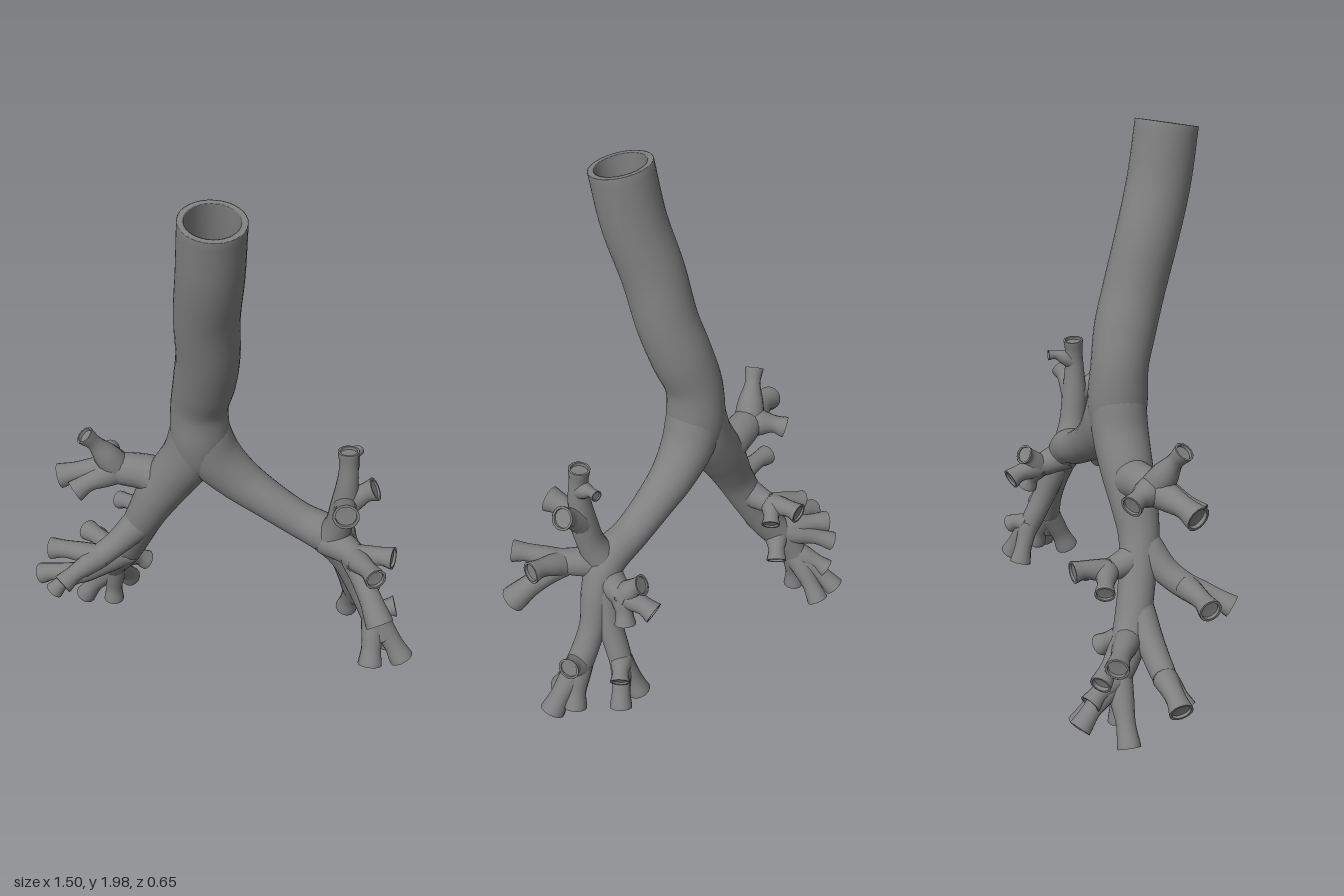
import * as THREE from 'three';

const material = new THREE.MeshStandardMaterial({ color: 0x808080, side: THREE.DoubleSide });

// Hollow-ended tube through points [x, y, z, radius]; the bore runs back from the tip to parameter "bore".
function tube(name, pts, bore = 0.95, sides = 18) {
  const curve = new THREE.CatmullRomCurve3(pts.map(p => new THREE.Vector3(p[0], p[1], p[2])));
  const radii = new THREE.SplineCurve(pts.map((p, i) => new THREE.Vector2(i, p[3])));
  const steps = (pts.length - 1) * 7;
  // Rounded root, outer wall, rounded rim, inner wall, closed floor
  const rings = [[0, 0], [0, 0.7]];
  for (let i = 0; i <= steps; i++) rings.push([i / steps, 1]);
  rings.push([1, 0.97], [1, 0.85]);
  for (let i = 0; i <= 8; i++) rings.push([1 - (1 - bore) * i / 8, 0.8]);
  rings.push([bore, 0]);

  const pos = [], index = [];
  const normal = new THREE.Vector3(0.3, 0.1, 1), bin = new THREE.Vector3();
  rings.forEach(([t, s], k) => {
    const c = curve.getPoint(t), tan = curve.getTangent(t), r = radii.getPoint(t).y * s;
    normal.addScaledVector(tan, -normal.dot(tan)).normalize();
    bin.crossVectors(tan, normal);
    for (let j = 0; j < sides; j++) {
      const a = j / sides * Math.PI * 2;
      const p = c.clone().addScaledVector(normal, Math.cos(a) * r).addScaledVector(bin, Math.sin(a) * r);
      pos.push(p.x, p.y, p.z);
      if (k) {
        const n = (j + 1) % sides, A = (k - 1) * sides, B = k * sides;
        index.push(A + j, A + n, B + n, A + j, B + n, B + j);
      }
    }
  });
  const g = new THREE.BufferGeometry();
  g.setAttribute('position', new THREE.Float32BufferAttribute(pos, 3));
  g.setIndex(index);
  g.computeVertexNormals();
  const mesh = new THREE.Mesh(g, material);
  mesh.name = name;
  return mesh;
}

// Several twigs leaving one fork point, each with a wide root, a narrow neck and a flared tip
function fork(name, from, r, tips) {
  const group = new THREE.Group();
  group.name = name;
  tips.forEach(([x, y, z, tipR = 0.035], i) => {
    const at = (t, lift) => [0, 1, 2].map(k => from[k] * (1 - t) + [x, y, z][k] * t + (k === 1 ? lift : 0));
    group.add(tube(`${name}Twig${i + 1}`, [
      [...from, r], [...at(0.35, 0.006), r * 0.86], [...at(0.7, 0.008), tipR * 0.9], [x, y, z, tipR * 1.1]], 0.93, 14));
  });
  return group;
}

export function createModel() {
  const model = new THREE.Group();
  model.name = 'airwayTree';

  // Windpipe, narrowing to a hidden rounded end, and the two main airways that grow out of it
  model.add(
    tube('windpipe', [
      [-0.055, 0.87, 0, 0.04], [-0.055, 0.94, 0, 0.085], [-0.053, 1.04, 0.003, 0.104], [-0.05, 1.18, 0.012, 0.1],
      [-0.02, 1.3, 0.042, 0.107], [0.006, 1.43, 0.083, 0.107], [0.02, 1.6, 0.132, 0.108],
      [0.05, 1.78, 0.185, 0.109], [0.07, 1.975, 0.22, 0.108]], 0.25, 32),
    tube('leftMainAirway', [
      [-0.052, 1.17, 0.01, 0.075], [-0.043, 1.07, 0.003, 0.095], [-0.008, 0.97, -0.008, 0.096], [0.08, 0.877, -0.02, 0.081],
      [0.19, 0.805, -0.026, 0.069], [0.31, 0.74, -0.03, 0.064], [0.42, 0.695, -0.03, 0.069],
      [0.48, 0.61, -0.045, 0.058], [0.53, 0.48, -0.065, 0.047], [0.59, 0.36, -0.065, 0.048],
      [0.64, 0.26, -0.05, 0.046]], 0.97, 24),
    tube('rightMainAirway', [
      [-0.052, 1.17, 0.01, 0.075], [-0.062, 1.07, 0.003, 0.095], [-0.09, 0.96, 0, 0.098], [-0.155, 0.85, 0, 0.092],
      [-0.215, 0.75, 0.005, 0.083], [-0.27, 0.64, 0.005, 0.071], [-0.325, 0.52, -0.02, 0.065],
      [-0.39, 0.39, -0.06, 0.062], [-0.45, 0.29, -0.11, 0.056], [-0.48, 0.2, -0.16, 0.045]], 0.97, 24));

  // Left upper branches
  model.add(
    tube('leftUpperBranch', [
      [0.425, 0.68, -0.025, 0.066], [0.46, 0.78, 0, 0.05], [0.478, 0.88, 0.015, 0.047],
      [0.487, 1.0, 0.02, 0.036], [0.485, 1.06, 0.018, 0.033], [0.482, 1.105, 0.015, 0.037]]),
    fork('leftUpperFork', [0.48, 0.875, 0.015], 0.046, [[0.58, 0.96, 0, 0.038], [0.515, 0.925, 0.14, 0.042]]),
    fork('leftUpperTipFork', [0.486, 1.02, 0.015], 0.032, [[0.495, 1.05, -0.08, 0.018]]),
    tube('leftFrontBranch', [[0.42, 0.69, -0.02, 0.062], [0.51, 0.7, 0.04, 0.049], [0.56, 0.705, 0.1, 0.04]]),
    fork('leftFrontFork', [0.53, 0.695, 0.06], 0.045, [
      [0.645, 0.735, 0.2, 0.035], [0.675, 0.735, 0.07, 0.036], [0.67, 0.53, 0.19, 0.045]]),
    tube('leftBackBranch', [[0.44, 0.66, -0.035, 0.06], [0.45, 0.63, -0.11, 0.047], [0.445, 0.62, -0.17, 0.042]]),
    fork('leftBackFork', [0.45, 0.62, -0.14], 0.045, [
      [0.42, 0.595, -0.26, 0.036], [0.42, 0.69, -0.205, 0.034], [0.48, 0.53, -0.18, 0.034]]));

  // Left lower branches
  model.add(
    tube('leftLowerBackBranch', [
      [0.465, 0.62, -0.06, 0.052], [0.485, 0.48, -0.11, 0.044], [0.495, 0.36, -0.165, 0.041], [0.505, 0.3, -0.19, 0.034]]),
    fork('leftLowerBackFork', [0.495, 0.36, -0.17], 0.041, [
      [0.46, 0.215, -0.22, 0.037], [0.56, 0.215, -0.23, 0.036], [0.56, 0.34, -0.23, 0.032]]),
    fork('leftLowerFork', [0.6, 0.34, -0.065], 0.049, [
      [0.72, 0.18, -0.045, 0.041], [0.615, 0.175, 0.02, 0.041], [0.67, 0.385, -0.09, 0.036], [0.66, 0.195, -0.1, 0.038]]));

  // Right upper branches
  model.add(
    tube('rightUpperBranch', [
      [-0.19, 0.82, 0, 0.076], [-0.26, 0.838, 0.005, 0.066], [-0.34, 0.845, 0.022, 0.06], [-0.41, 0.85, 0.05, 0.045]]),
    fork('rightUpperFork', [-0.36, 0.845, 0.025], 0.056, [
      [-0.455, 1.01, 0.09, 0.032], [-0.56, 0.815, 0.1, 0.042], [-0.485, 0.79, 0.14, 0.038], [-0.44, 0.835, -0.085, 0.036]]));

  // Right middle branches
  model.add(
    tube('rightMiddleBranch', [
      [-0.28, 0.62, 0.01, 0.062], [-0.36, 0.535, 0.07, 0.048], [-0.42, 0.49, 0.13, 0.045], [-0.46, 0.465, 0.18, 0.036]]),
    fork('rightMiddleFork', [-0.41, 0.495, 0.12], 0.045, [[-0.505, 0.44, 0.255, 0.036], [-0.6, 0.495, 0.135, 0.037]]),
    tube('rightBackBranch', [[-0.3, 0.58, -0.005, 0.058], [-0.32, 0.56, -0.09, 0.043], [-0.335, 0.55, -0.16, 0.036]]),
    fork('rightBackFork', [-0.33, 0.555, -0.13], 0.042, [
      [-0.34, 0.575, -0.255], [-0.26, 0.53, -0.19, 0.032], [-0.45, 0.535, -0.18, 0.032]]));

  // Right lower branches
  model.add(
    tube('rightLowerSideBranch', [
      [-0.36, 0.43, -0.04, 0.06], [-0.47, 0.335, -0.025, 0.048], [-0.56, 0.27, -0.015, 0.043], [-0.63, 0.24, -0.01, 0.036]]),
    fork('rightLowerSideFork', [-0.58, 0.26, -0.015], 0.043, [[-0.73, 0.22, -0.015, 0.038], [-0.66, 0.185, 0.03, 0.033]]),
    fork('rightLowerBackFork', [-0.42, 0.34, -0.085], 0.05, [
      [-0.6, 0.34, -0.19, 0.038], [-0.34, 0.28, -0.16, 0.035], [-0.58, 0.28, -0.24, 0.034]]),
    fork('rightLowerFork', [-0.47, 0.23, -0.14], 0.048, [
      [-0.61, 0.035, -0.15, 0.037], [-0.465, 0.065, -0.28, 0.037], [-0.54, 0.1, -0.3, 0.036],
      [-0.48, 0.06, -0.14, 0.036], [-0.53, 0.18, -0.26, 0.034]]));

  return model;
}
